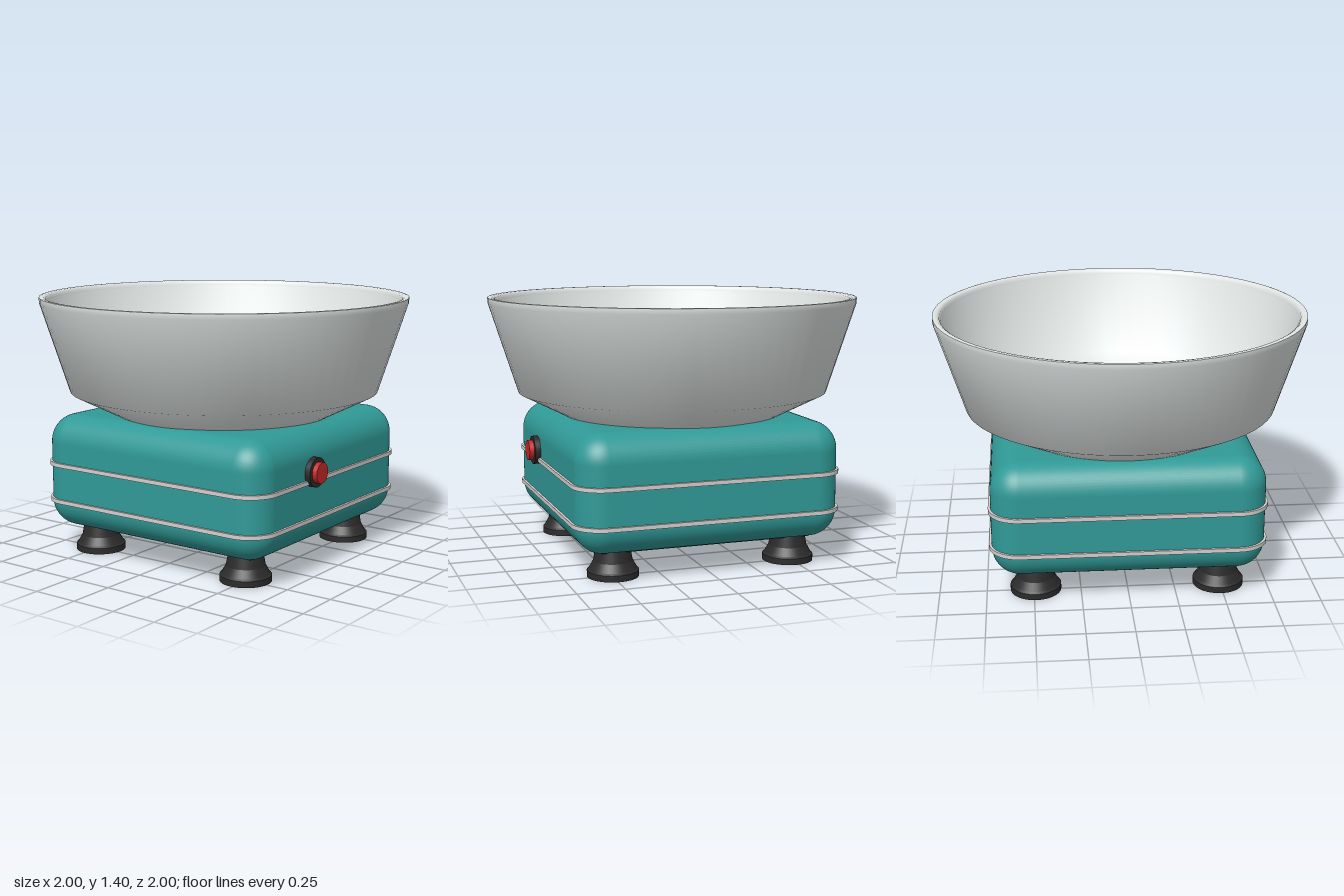
import * as THREE from 'three';
import { RoundedBoxGeometry } from 'three/addons/geometries/RoundedBoxGeometry.js';

const mat = (name, color, side = THREE.FrontSide) => {
  const m = new THREE.MeshStandardMaterial({ color, side });
  m.name = name;
  return m;
};

export function createModel() {
  const group = new THREE.Group();
  const teal = mat('teal enamel', 0x309a97);
  const steel = mat('steel', 0xe2e7e6, THREE.DoubleSide);
  const trim = mat('pale trim', 0xd6d0d0);
  const rubber = mat('black rubber', 0x2b2b2b);
  const red = mat('red', 0xc62828);

  const add = (name, geometry, material, x = 0, y = 0, z = 0) => {
    const mesh = new THREE.Mesh(geometry, material);
    mesh.name = name;
    mesh.position.set(x, y, z);
    group.add(mesh);
    return mesh;
  };
  const lathe = (points, segments) =>
    new THREE.LatheGeometry(points.map(([r, y]) => new THREE.Vector2(r, y)), segments);
  // Turned part with one band per profile step, which keeps its edges crisp
  const turned = (name, profile, material, x = 0, z = 0) => {
    const part = new THREE.Group();
    part.name = name;
    part.position.set(x, 0, z);
    for (let i = 0; i < profile.length - 1; i++) {
      const band = new THREE.Mesh(lathe([profile[i], profile[i + 1]], 40), material);
      band.name = name + 'Section';
      part.add(band);
    }
    group.add(part);
  };

  // Rounded housing with a dark base plate
  add('housing', new RoundedBoxGeometry(1.43, 0.62, 1.43, 8, 0.15), teal, 0, 0.455, 0);
  add('basePlate', new THREE.BoxGeometry(1.14, 0.02, 1.14), rubber, 0, 0.148, 0);

  // Two flat trim bands following the housing's rounded outline
  const half = 0.728, r = 0.163, corner = half - r;
  const outline = new THREE.Shape();
  outline.moveTo(half, -corner);
  [[1, 1], [-1, 1], [-1, -1], [1, -1]].forEach(([sx, sz], i) => {
    outline.absarc(sx * corner, sz * corner, r, i * Math.PI / 2, (i + 1) * Math.PI / 2, false);
  });
  outline.closePath();
  const bandGeometry = new THREE.ExtrudeGeometry(outline, { depth: 0.022, bevelEnabled: false, curveSegments: 10 });
  bandGeometry.rotateX(-Math.PI / 2);
  for (const y of [0.287, 0.489]) add('trimBand', bandGeometry, trim, 0, y, 0);

  // Bowl: outer shell, rolled lip and interior running parallel to the shell
  add('bowlOuter', lathe([[0.52, 0.72], [0.845, 0.885], [1, 1.37], [1, 1.398]], 64), steel);
  add('bowlLip', lathe([[1, 1.398], [0.99, 1.4], [0.975, 1.398], [0.963, 1.39], [0.958, 1.37]], 64), steel);
  add('bowlInside', lathe([[0.958, 1.37], [0.805, 0.92], [0.57, 0.82],
    [0.2, 0.775], [0.17, 0.74]], 64), steel);

  // Central hub with a recessed ring and spindle
  turned('hub', [[0.23, 0.76], [0.23, 0.982], [0.08, 0.982], [0.08, 0.965], [0, 0.965]], steel);
  add('spindle', new THREE.CylinderGeometry(0.03, 0.03, 0.03, 24), steel, 0, 0.973, 0);

  // Four flared feet
  const foot = [[0, 0], [0.135, 0], [0.135, 0.033], [0.125, 0.042], [0.102, 0.083], [0.09, 0.15], [0, 0.15]];
  for (const x of [-0.49, 0.49]) {
    for (const z of [-0.49, 0.49]) turned('foot', foot, rubber, x, z);
  }

  // Push button on the left side
  const bezel = add('buttonBezel', new THREE.CylinderGeometry(0.078, 0.078, 0.05, 32), rubber, 0.72, 0.547, 0.215);
  const button = add('button', new THREE.CylinderGeometry(0.055, 0.055, 0.06, 32), red, 0.742, 0.547, 0.215);
  bezel.rotation.z = button.rotation.z = -Math.PI / 2;

  return group;
}
